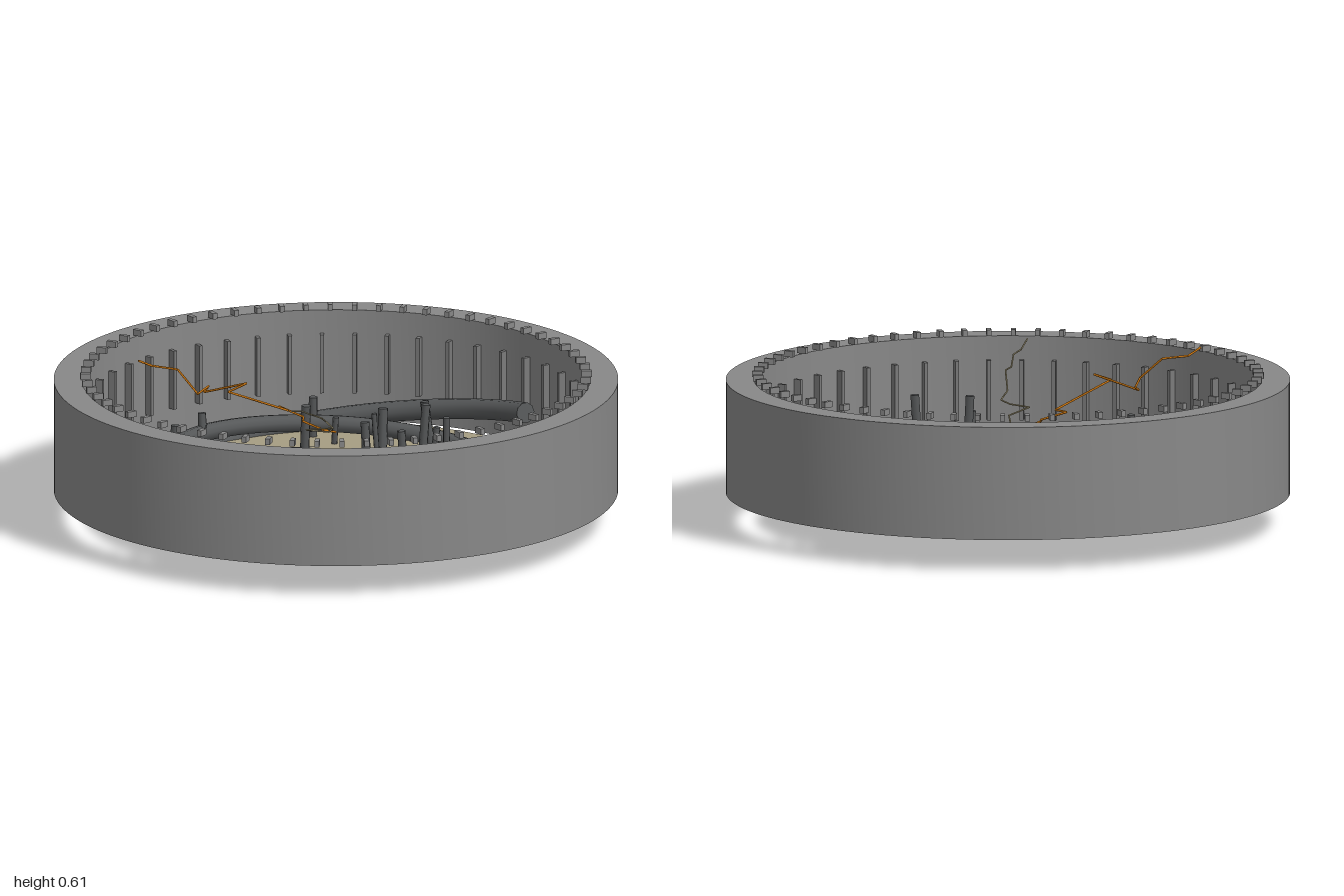
import * as THREE from 'three';
import { toCreasedNormals } from 'three/addons/utils/BufferGeometryUtils.js';

const mat = (name, color) => {
  const m = new THREE.MeshStandardMaterial({ color });
  m.name = name;
  return m;
};

export function createModel() {
  const model = new THREE.Group();
  model.name = 'ringArena';
  const stone = mat('stone grey', 0x888888);
  const rib = mat('rib grey', 0x7a7a7a);
  const sand = mat('sand', 0xa69d82);
  const dark = mat('dark grey', 0x565859);
  const amber = mat('amber', 0xcc7711);
  const pale = mat('pale tan', 0x9a9070);

  const add = (parent, name, geometry, material) => {
    const mesh = new THREE.Mesh(geometry, material);
    mesh.name = name;
    parent.add(mesh);
    return mesh;
  };
  const group = (name) => {
    const g = new THREE.Group();
    g.name = name;
    model.add(g);
    return g;
  };
  const up = new THREE.Vector3(0, 1, 0);

  // Straight rod between two points
  const rod = (parent, name, a, b, r, sides, material) => {
    const dir = b.clone().sub(a);
    const m = add(parent, name, new THREE.CylinderGeometry(r, r, dir.length(), sides), material);
    m.position.copy(a).add(b).multiplyScalar(0.5);
    m.quaternion.setFromUnitVectors(up, dir.normalize());
  };

  // Outer wall
  const shape = new THREE.Shape().absarc(0, 0, 1, 0, Math.PI * 2);
  shape.holes.push(new THREE.Path().absarc(0, 0, 0.9, 0, Math.PI * 2, true));
  const wall = new THREE.ExtrudeGeometry(shape, { depth: 0.405, bevelEnabled: false, curveSegments: 64 });
  wall.rotateX(-Math.PI / 2).translate(0, 0.12, 0);
  add(model, 'outerWall', toCreasedNormals(wall, 0.6), stone);

  // Floor disc
  add(model, 'floorDisc', new THREE.CylinderGeometry(0.815, 0.815, 0.04, 64).translate(0, 0.12, 0), sand);

  // Blocks repeated around the inside of the wall
  const around = (name, count, w, h, d, r, y, material) => {
    const g = group(name + 's');
    const geo = new THREE.BoxGeometry(w, h, d);
    for (let i = 0; i < count; i++) {
      const a = (i / count) * Math.PI * 2;
      const m = add(g, name, geo, material);
      m.position.set(Math.sin(a) * r, y, Math.cos(a) * r);
      m.rotation.y = a;
    }
  };
  around('wallRib', 48, 0.014, 0.215, 0.03, 0.888, 0.333, rib);
  around('rimStud', 64, 0.017, 0.022, 0.036, 0.888, 0.541, stone);

  // Spiral roots winding up through the floor: angle, radius and height at each end
  class Spiral extends THREE.Curve {
    constructor(from, to, power) {
      super();
      Object.assign(this, { from, to, power });
    }
    getPoint(t, target = new THREE.Vector3()) {
      const mix = (i, k) => this.from[i] + (this.to[i] - this.from[i]) * k;
      const a = mix(0, t), r = mix(1, t);
      return target.set(-Math.sin(a) * r, mix(2, t ** this.power), Math.cos(a) * r);
    }
  }
  const roots = group('roots');
  for (const [name, from, to, power, radius] of [
    ['outerRoot', [0.237, 0.645, 0.042], [3.345, 0.768, 0.295], 1.5, 0.037],
    ['middleRoot', [3.507, 0.658, 0.13], [0.407, 0.553, 0.27], 1, 0.031],
    ['innerRoot', [3.22, 0.522, 0.09], [0.204, 0.422, 0.185], 1.3, 0.025],
  ]) {
    const curve = new Spiral(from, to, power);
    add(roots, name, new THREE.TubeGeometry(curve, 32, radius, 10), dark);
    for (const end of [0, 1]) {
      const cap = add(roots, name + 'Cap', new THREE.CircleGeometry(radius, 10), dark);
      const p = curve.getPoint(end);
      cap.position.copy(p);
      cap.lookAt(p.clone().addScaledVector(curve.getTangent(end), end ? 1 : -1));
    }
  }

  // Leaning posts: x, z, top height, radius
  let seed = 7;
  const rand = () => (seed = (seed * 16807) % 2147483647) / 2147483647 - 0.5;
  const posts = group('posts');
  for (const [x, z, top, r] of [
    [-0.03, -0.46, 0.35, 0.016], [-0.2, -0.39, 0.3, 0.018], [-0.395, -0.335, 0.24, 0.011],
    [-0.09, -0.265, 0.33, 0.01], [-0.295, -0.11, 0.345, 0.017], [0.135, -0.4, 0.34, 0.013],
    [0.15, -0.33, 0.32, 0.012], [0.155, -0.18, 0.335, 0.015], [0.28, -0.165, 0.46, 0.016],
    [0.545, -0.12, 0.235, 0.017], [0.497, 0.02, 0.31, 0.017], [0.245, 0.067, 0.43, 0.016],
    [0.068, 0.285, 0.27, 0.017], [0.16, 0.255, 0.275, 0.012], [0.29, 0.275, 0.23, 0.016],
    [0.37, 0.235, 0.34, 0.014], [0.035, 0.465, 0.285, 0.016], [-0.125, 0.52, 0.345, 0.014],
    [-0.515, 0.31, 0.3, 0.017], [-0.275, 0.46, 0.3, 0.017], [-0.35, 0.365, 0.25, 0.012],
    [-0.555, 0.145, 0.305, 0.015], [-0.52, -0.34, 0.285, 0.016],
  ]) {
    const dx = rand() * 0.025, dz = rand() * 0.025;
    rod(posts, 'post', new THREE.Vector3(x - dx, 0.125, z - dz), new THREE.Vector3(x + dx, top, z + dz), r, 7, dark);
  }

  // Thin jagged bolts rising from the centre
  const bolt = (name, points, r, material) => {
    const g = group(name);
    const v = points.map((p) => new THREE.Vector3(...p));
    for (let i = 1; i < v.length; i++) rod(g, name + 'Segment', v[i - 1], v[i], r, 5, material);
  };
  bolt('amberBolt', [
    [0, 0.33, 0], [-0.02, 0.34, 0.04], [-0.075, 0.37, 0.09], [-0.09, 0.38, 0.075], [-0.17, 0.41, 0.12],
    [-0.11, 0.41, 0.13], [-0.19, 0.5, 0.34], [-0.165, 0.525, 0.275], [-0.31, 0.475, 0.35],
    [-0.32, 0.49, 0.32], [-0.24, 0.5, 0.44], [-0.325, 0.575, 0.46], [-0.395, 0.585, 0.52], [-0.41, 0.61, 0.57],
  ], 0.004, amber);
  bolt('paleBolt', [
    [0.02, 0.35, 0.04], [0.09, 0.37, 0.11], [0.07, 0.39, 0.2], [0.13, 0.4, 0.16], [0.17, 0.41, 0.16],
    [0.165, 0.44, 0.19], [0.26, 0.49, 0.29], [0.25, 0.5, 0.31], [0.3, 0.53, 0.38], [0.29, 0.545, 0.41],
    [0.33, 0.568, 0.49],
  ], 0.003, pale);

  return model;
}
